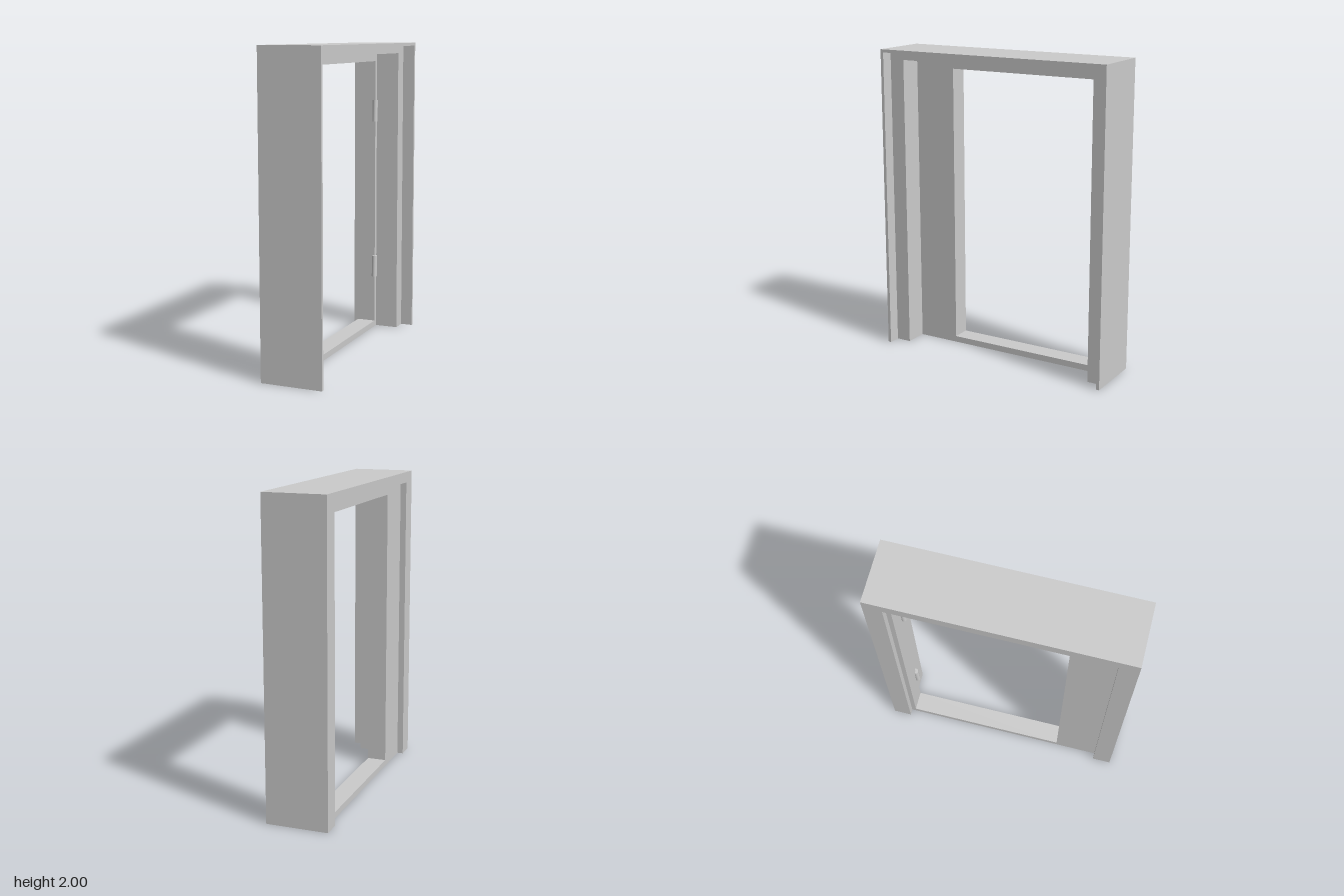
import * as THREE from 'three';

const material = new THREE.MeshStandardMaterial({ color: 0xcccccc, side: THREE.DoubleSide });

// Corners of one section of the frame, going up one jamb, over the head and down the other
function section([x, zNear, zFar, top, bottom = 0]) {
  return [[x, bottom, zNear], [x, top, zNear], [x, top, zFar], [x, bottom, zFar]];
}

// Flat sheet strips joining two sections; closed strips also run along the sill
function strip(name, a, b, closed = false) {
  const A = section(a), B = section(b), positions = [];
  for (let i = 0; i < (closed ? 4 : 3); i++) {
    const j = (i + 1) % 4;
    positions.push(...A[i], ...B[j], ...B[i], ...A[i], ...A[j], ...B[j]);
  }
  const geometry = new THREE.BufferGeometry();
  geometry.setAttribute('position', new THREE.Float32BufferAttribute(positions, 3));
  geometry.computeVertexNormals();
  const mesh = new THREE.Mesh(geometry, material);
  mesh.name = name;
  return mesh;
}

export function createModel() {
  const model = new THREE.Group();
  model.name = 'doorFrame';

  // Folded sheet profile: x, near jamb z, far jamb z, head height, bottom height
  const profile = [
    ['outerCasing', [-0.2, 0.8, -0.8, 2]],
    ['frontRim', [0.2, 0.8, -0.8, 2]],
    ['frontRimReturn', [0.2, 0.78, -0.78, 1.98]],
    ['frontStep', [0.12, 0.78, -0.78, 1.98]],
    ['doorRebate', [0.12, 0.68, -0.68, 1.93]],
    ['doorStop', [-0.035, 0.68, -0.68, 1.93], true],
    ['openingLining', [-0.035, 0.4, -0.65, 1.875, 0.04], true],
    ['backStop', [-0.16, 0.4, -0.65, 1.875, 0.04], true],
    ['backReturn', [-0.16, 0.68, -0.68, 1.93]],
    ['backFace', [-0.2, 0.68, -0.68, 1.93]],
  ];
  profile.forEach(([name, from, closed], i) => {
    const to = profile[(i + 1) % profile.length][1];
    model.add(strip(name, from, to, closed));
  });

  // Hinge barrels on the far jamb
  for (const [name, y] of [['lowerHinge', 0.44], ['upperHinge', 1.535]]) {
    const hinge = new THREE.Mesh(new THREE.CylinderGeometry(0.018, 0.018, 0.148, 24), material);
    hinge.name = name;
    hinge.position.set(-0.035, y, -0.645);
    hinge.rotation.x = -0.035;
    model.add(hinge);
  }
  return model;
}
